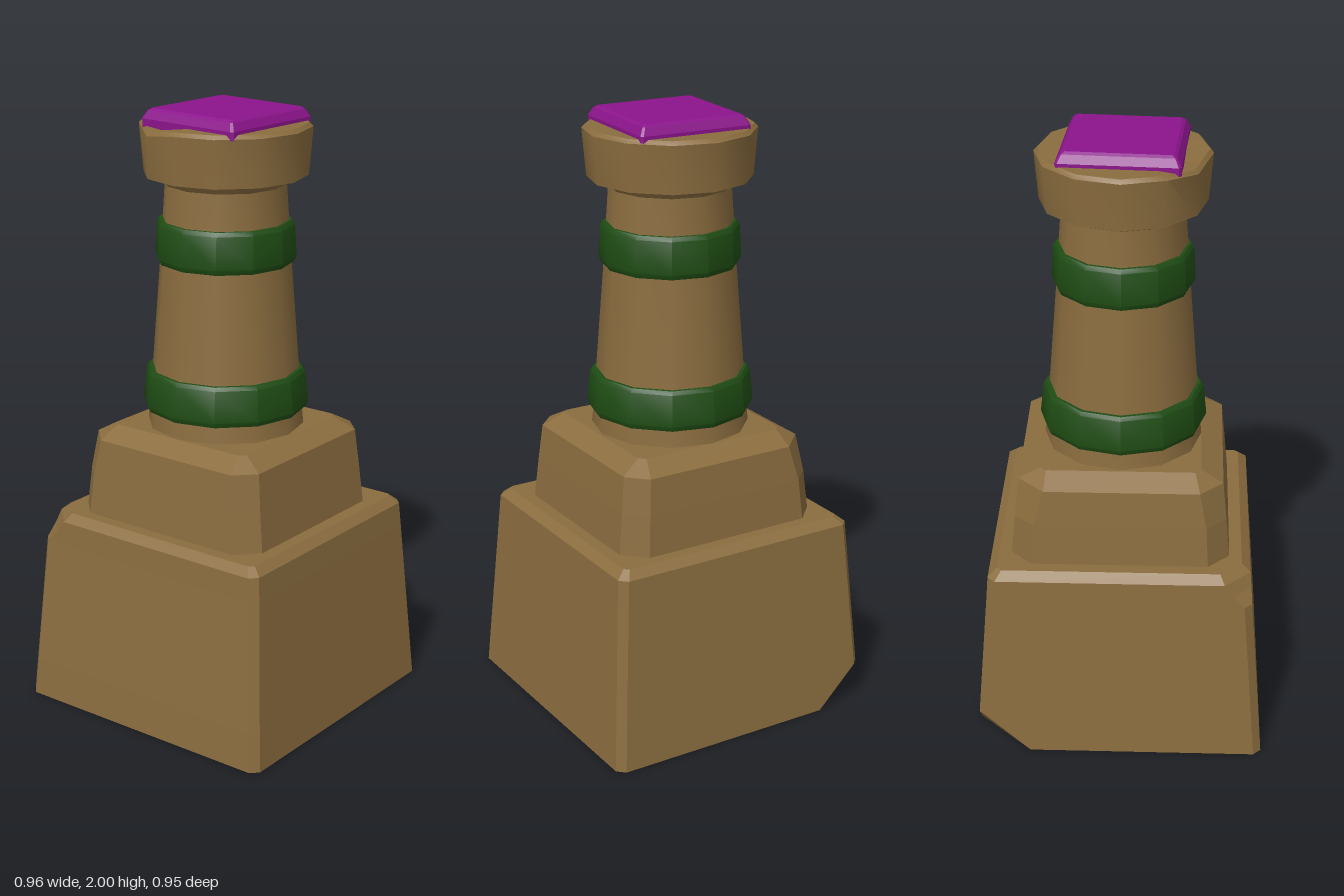
import * as THREE from 'three';
import { toCreasedNormals } from 'three/addons/utils/BufferGeometryUtils.js';

const stone = new THREE.MeshStandardMaterial({ color: 0x8b6d3f, side: THREE.DoubleSide });
const green = new THREE.MeshStandardMaterial({ color: 0x1f4d14, side: THREE.DoubleSide });
const purple = new THREE.MeshStandardMaterial({ color: 0x8c148c, side: THREE.DoubleSide });

// Corner order: front left (+x+z), back left (+x-z), back right (-x-z), front right (-x+z)
const CORNERS = [[1, 1], [1, -1], [-1, -1], [-1, 1]];

// One chamfered rectangle; cuts is one chamfer or one per corner
function ring([y, hx, hz, cuts]) {
  const points = [];
  CORNERS.forEach(([sx, sz], k) => {
    const c = Array.isArray(cuts) ? cuts[k] : cuts;
    const pair = [[sx * (hx - c), y, sz * hz], [sx * hx, y, sz * (hz - c)]];
    points.push(...(sx * sz > 0 ? pair : pair.reverse()));
  });
  return points;
}

// Block lofted through rings, open below and closed on top
function block(name, sections, material) {
  const rings = sections.map(ring);
  const top = rings[rings.length - 1];
  const pos = [];
  for (let r = 0; r < rings.length - 1; r++) {
    for (let i = 0; i < 8; i++) {
      const j = (i + 1) % 8;
      const [a, b, c, d] = [rings[r][i], rings[r][j], rings[r + 1][j], rings[r + 1][i]];
      pos.push(...a, ...b, ...c, ...a, ...c, ...d);
    }
  }
  for (let i = 0; i < 8; i++) pos.push(0, top[0][1], 0, ...top[i], ...top[(i + 1) % 8]);
  const geometry = new THREE.BufferGeometry();
  geometry.setAttribute('position', new THREE.Float32BufferAttribute(pos, 3));
  geometry.computeVertexNormals();
  const mesh = new THREE.Mesh(geometry, material);
  mesh.name = name;
  return mesh;
}

// Twelve-sided turned part; chip may move its vertices
function turned(name, profile, material, chip) {
  const lathe = new THREE.LatheGeometry(profile.map(([r, y]) => new THREE.Vector2(r, y)), 12);
  if (chip) {
    const p = lathe.attributes.position;
    for (let i = 0; i < p.count; i++) {
      const v = new THREE.Vector3().fromBufferAttribute(p, i);
      chip(v);
      p.setXYZ(i, v.x, v.y, v.z);
    }
  }
  const mesh = new THREE.Mesh(toCreasedNormals(lathe, 0.6), material);
  mesh.name = name;
  return mesh;
}

export function createModel() {
  const model = new THREE.Group();
  model.name = 'pedestal';

  // Lower plinth, chipped at one bottom corner and one top corner
  model.add(block('lowerPlinth', [
    [0, 0.482, 0.475, [0.025, 0.025, 0.18, 0.025]],
    [0.13, 0.473, 0.465, 0.025],
    [0.56, 0.443, 0.431, 0.025],
    [0.6, 0.44, 0.428, [0.025, 0.025, 0.025, 0.06]],
    [0.64, 0.437, 0.425, [0.025, 0.025, 0.025, 0.085]],
    [0.665, 0.407, 0.396, [0.015, 0.015, 0.015, 0.07]],
  ], stone));

  // Upper plinth with wide corner chamfers and a few worn corners
  model.add(block('upperPlinth', [
    [0.66, 0.365, 0.356, 0.07],
    [0.8, 0.35, 0.343, 0.065],
    [0.92, 0.337, 0.331, [0.062, 0.062, 0.085, 0.075]],
    [0.96, 0.268, 0.26, 0.02],
  ], stone));

  // Tapered shaft
  model.add(turned('shaft', [
    [0.26, 0.95], [0.253, 1.02], [0.215, 1.5], [0.197, 1.76], [0.222, 1.795],
  ], stone));

  // Capital, with one worn vertex on the rim
  model.add(turned('capital', [
    [0.2, 1.79], [0.266, 1.79], [0.279, 1.945], [0.267, 1.957], [0, 1.957],
  ], stone, (v) => {
    if (v.y > 1.94 && v.x < -0.1 && v.x > -0.18 && v.z > 0.2) {
      v.x *= 0.96;
      v.z *= 0.96;
      v.y -= 0.02;
    }
  }));

  // Green bands around the shaft
  model.add(turned('lowerBand', [
    [0.245, 1.018], [0.266, 1.018], [0.274, 1.035], [0.263, 1.138], [0.254, 1.15], [0.235, 1.15],
  ], green));
  model.add(turned('upperBand', [
    [0.205, 1.507], [0.222, 1.507], [0.23, 1.524], [0.224, 1.63], [0.215, 1.643], [0.2, 1.643],
  ], green));

  // Slightly turned tile on top
  const tile = block('topTile', [
    [1.94, 0.192, 0.192, 0.008],
    [1.968, 0.192, 0.192, 0.008],
    [1.993, 0.178, 0.178, 0.006],
    [2.0, 0.168, 0.168, 0.006],
  ], purple);
  tile.position.set(0.005, 0, 0.002);
  tile.rotation.y = -0.07;
  model.add(tile);

  return model;
}
